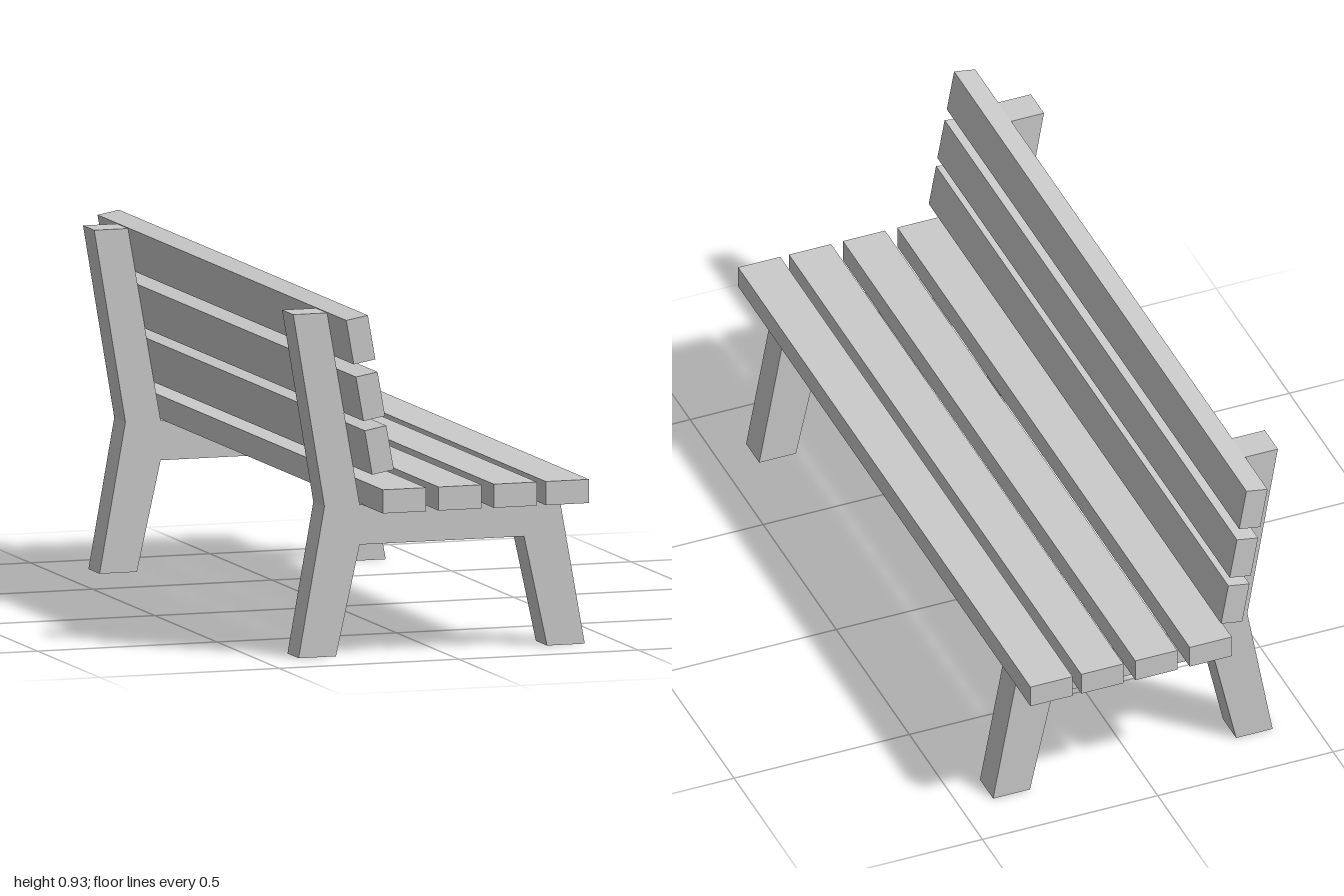
import * as THREE from 'three';

const material = new THREE.MeshStandardMaterial({ color: 0xcccccc, flatShading: true });

// Side frame outline: both legs, seat rail and reclined back post in one piece
const FRAME = [
  [-0.392, 0], [-0.288, 0], [-0.222, 0.294], [0.236, 0.294], [0.3, 0], [0.405, 0],
  [0.333, 0.4], [-0.222, 0.4], [-0.313, 0.915], [-0.407, 0.915], [-0.32, 0.4],
];
const FRAME_THICKNESS = 0.09;
const FRAME_Z = 0.8;
const LENGTH = 2;
const RECLINE = THREE.MathUtils.degToRad(10);

function addMesh(parent, name, geometry, x, y, z = 0) {
  const mesh = new THREE.Mesh(geometry, material);
  mesh.name = name;
  mesh.position.set(x, y, z);
  parent.add(mesh);
  return mesh;
}

export function createModel() {
  const bench = new THREE.Group();
  bench.name = 'bench';

  // Two matching end frames
  const outline = new THREE.Shape(FRAME.map(([x, y]) => new THREE.Vector2(x, y)));
  const frameGeometry = new THREE.ExtrudeGeometry(outline, { depth: FRAME_THICKNESS, bevelEnabled: false });
  frameGeometry.translate(0, 0, -FRAME_THICKNESS / 2);
  for (const side of [-1, 1]) {
    addMesh(bench, side < 0 ? 'rearEndFrame' : 'frontEndFrame', frameGeometry, 0, 0, side * FRAME_Z);
  }

  // Flat seat slats
  const seatGeometry = new THREE.BoxGeometry(0.12, 0.063, LENGTH);
  [-0.151, 0.004, 0.158, 0.303].forEach((x, i) => {
    addMesh(bench, `seatSlat${i + 1}`, seatGeometry, x, 0.4295);
  });

  // Backrest slats, tilted to lie on the back posts
  const backGeometry = new THREE.BoxGeometry(0.061, 0.12, LENGTH);
  [[-0.221, 0.567], [-0.2455, 0.711], [-0.2725, 0.863]].forEach(([x, y], i) => {
    addMesh(bench, `backSlat${i + 1}`, backGeometry, x, y).rotation.z = RECLINE;
  });

  return bench;
}
